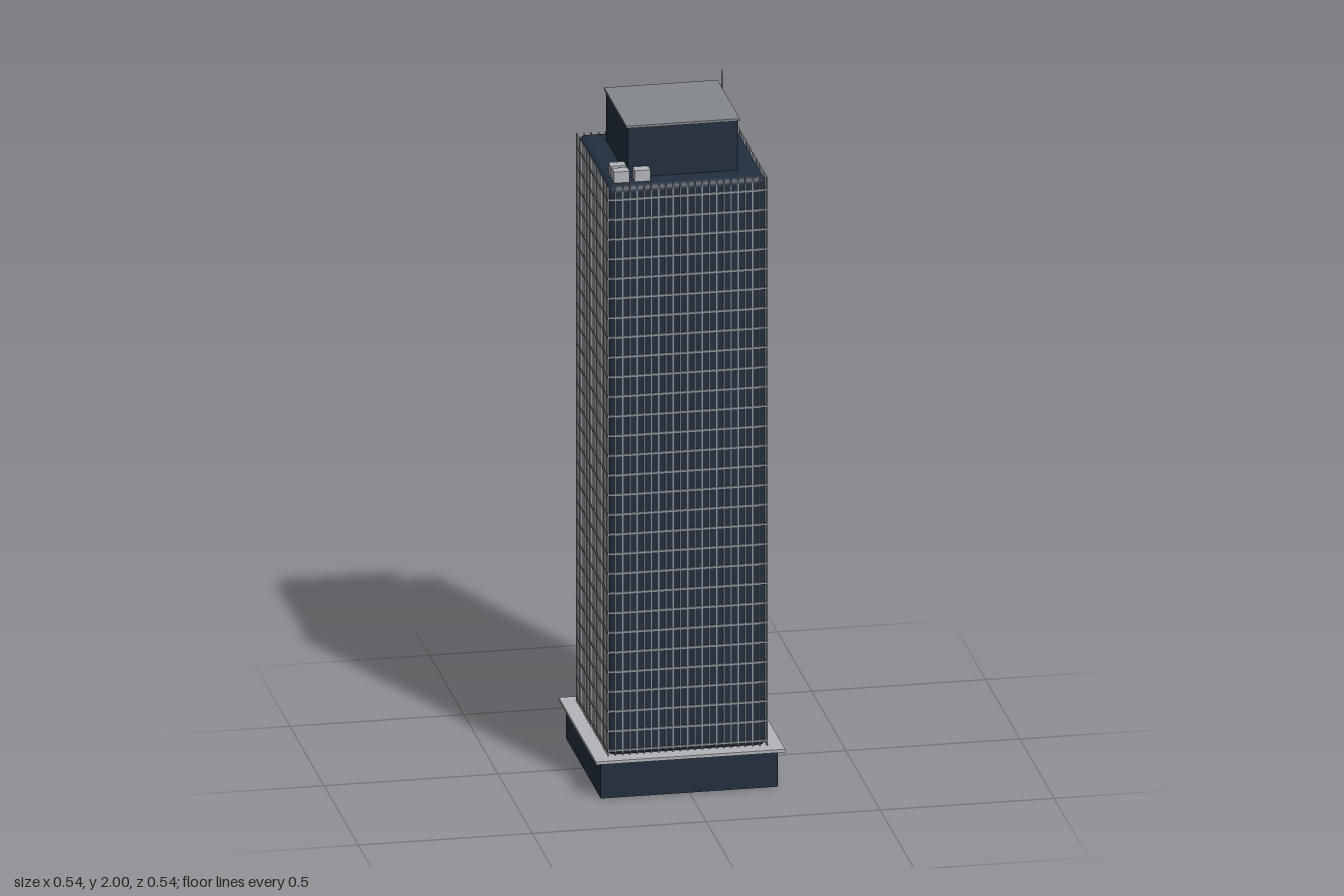
import * as THREE from 'three';
import { RoundedBoxGeometry } from 'three/addons/geometries/RoundedBoxGeometry.js';

export function createModel() {
  const tower = new THREE.Group();
  tower.name = 'officeTower';

  const material = (name, color) => {
    const m = new THREE.MeshStandardMaterial({ color });
    m.name = name;
    return m;
  };
  const glass = material('dark blue glass', 0x222f3f);
  const stone = material('pale concrete', 0xb2b5b9);
  const lidGrey = material('roof grey', 0x84888e);
  const metal = material('facade metal', 0x8a8e92);

  const add = (parent, name, geometry, mat, x, y, z) => {
    const mesh = new THREE.Mesh(geometry, mat);
    mesh.name = name;
    mesh.position.set(x, y, z);
    parent.add(mesh);
    return mesh;
  };
  // Box given by its size, its bottom height and its centre
  const box = (parent, name, mat, w, h, d, bottom, x = 0, z = 0) =>
    add(parent, name, new THREE.BoxGeometry(w, h, d), mat, x, bottom + h / 2, z);

  // Podium with overhanging slab
  box(tower, 'podium', glass, 0.51, 0.108, 0.51, 0);
  box(tower, 'podiumSlab', stone, 0.544, 0.009, 0.544, 0.108);

  // Glass shaft with softly rounded edges
  const bottom = 0.112, top = 1.822;
  add(tower, 'shaft', new RoundedBoxGeometry(0.453, top - bottom, 0.453, 4, 0.02),
    glass, 0, (bottom + top) / 2, 0);

  // One facade grid per side: thin mullions and a band at each floor
  const bays = 22, floors = 29, half = 0.2285;
  const mullion = new THREE.BoxGeometry(0.0035, top - bottom, 0.004);
  const band = new THREE.BoxGeometry(0.46, 0.006, 0.005);
  for (let side = 0; side < 4; side++) {
    const facade = new THREE.Group();
    facade.name = 'facade' + ['Front', 'Left', 'Back', 'Right'][side];
    facade.rotation.y = side * Math.PI / 2;
    for (let i = 0; i <= bays; i++) {
      const x = -half + (2 * half * i) / bays;
      add(facade, 'mullion', mullion, metal, x, (bottom + top) / 2, half - 0.0005);
    }
    for (let i = 0; i < floors; i++) {
      add(facade, 'floorBand', band, metal, 0, 0.131 + i * 0.059, half - 0.001);
    }
    tower.add(facade);
  }

  // Penthouse with flat lid
  box(tower, 'penthouse', glass, 0.316, 0.152, 0.316, 1.82);
  box(tower, 'penthouseLid', lidGrey, 0.326, 0.007, 0.326, 1.971);

  // Rooftop cooling units
  for (const [x, z] of [[-0.183, 0.18], [-0.123, 0.18], [-0.183, 0.131]]) {
    box(tower, 'coolingUnit', stone, 0.045, 0.035, 0.034, 1.82, x, z);
  }

  // Antenna mast
  add(tower, 'antenna', new THREE.CylinderGeometry(0.002, 0.003, 0.18, 8),
    metal, 0.18, 1.91, -0.184);

  return tower;
}
